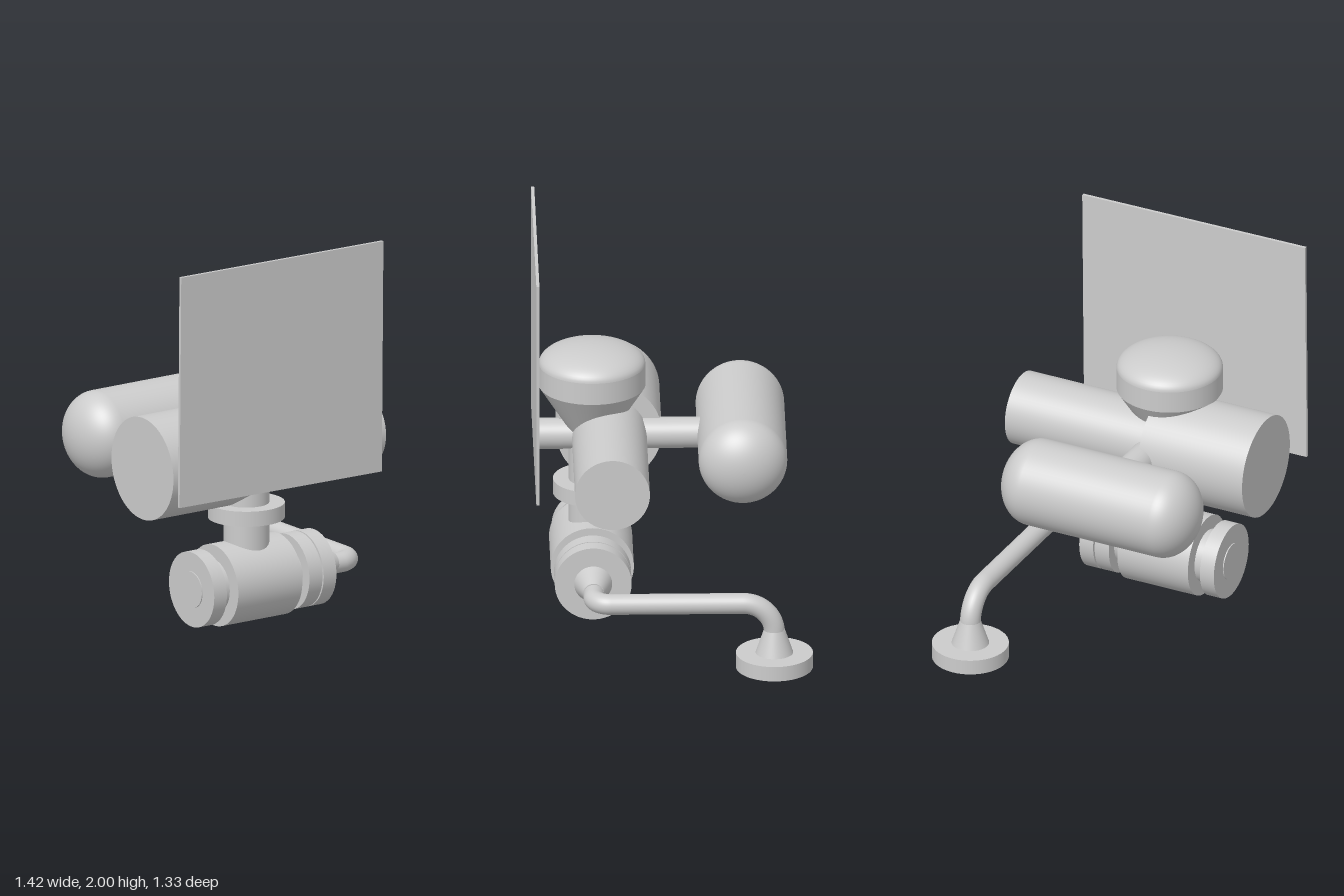
import * as THREE from 'three';

export function createModel() {
  const model = new THREE.Group();
  const mat = new THREE.MeshStandardMaterial({ color: 0xcccccc });
  const V = (x, y, z) => new THREE.Vector3(x, y, z);
  const UP = V(0, 1, 0);

  function add(name, geometry, parent = model) {
    const mesh = new THREE.Mesh(geometry, mat);
    mesh.name = name;
    parent.add(mesh);
    return mesh;
  }

  // Capped cylinder or cone between two points
  function rod(name, a, b, ra, rb = ra, parent = model) {
    const dir = b.clone().sub(a);
    const mesh = add(name, new THREE.CylinderGeometry(rb, ra, dir.length(), 64), parent);
    mesh.position.copy(a).add(b).multiplyScalar(0.5);
    mesh.quaternion.setFromUnitVectors(UP, dir.normalize());
    return mesh;
  }

  const CX = -0.11, CY = 0.965, PZ = 0.385;

  // Thin upright panel, slightly turned
  const panel = add('panel', new THREE.BoxGeometry(1.2, 1.145, 0.015));
  panel.position.set(-0.108, 1.4225, 0.655);
  panel.rotation.z = -0.0085;

  // Two main barrels meeting end to end
  rod('wideBarrel', V(-0.67, CY, 0.3), V(CX, CY, 0.3), 0.253);
  rod('narrowBarrel', V(CX, 0.96, 0.3), V(0.645, 0.96, 0.3), 0.18);

  // Pipe from the panel through the barrels to the tank
  rod('crossPipe', V(CX, CY, 0.65), V(CX, CY, -0.3), 0.075);

  // Tank with elliptical ends, turned about its long axis
  const tankProfile = [];
  for (let i = 0; i <= 20; i++) {
    const a = (i / 20) * Math.PI / 2;
    tankProfile.push(new THREE.Vector2(0.213 * Math.sin(a), -0.348 - 0.165 * Math.cos(a)));
  }
  for (let i = 0; i <= 20; i++) {
    const a = (i / 20) * Math.PI / 2;
    tankProfile.push(new THREE.Vector2(0.213 * Math.cos(a), 0.348 + 0.165 * Math.sin(a)));
  }
  const tank = add('tank', new THREE.LatheGeometry(tankProfile, 64));
  tank.rotation.z = -Math.PI / 2;
  tank.position.set(-0.112, CY, -0.335);

  // Funnel with a straight rim and a low domed lid
  const funnel = new THREE.Group();
  funnel.name = 'funnel';
  funnel.position.set(CX, 0, 0.382);
  model.add(funnel);
  const at = (y) => V(0, y, 0);
  rod('funnelCone', at(0.99), at(1.22), 0.11, 0.256, funnel);
  rod('funnelRim', at(1.22), at(1.33), 0.256, 0.256, funnel);
  const lid = [];
  for (let i = 0; i <= 16; i++) {
    const a = (i / 16) * Math.PI / 2;
    lid.push(new THREE.Vector2(0.256 * Math.cos(a), 1.33 + 0.098 * Math.sin(a)));
  }
  add('funnelLid', new THREE.LatheGeometry(lid, 64), funnel);

  // Neck and its flange down to the valve
  rod('neck', V(-0.115, 0.45, PZ), V(-0.115, 1.0, PZ), 0.11);
  rod('neckFlange', V(-0.115, 0.655, PZ), V(-0.115, 0.73, PZ), 0.185);

  // Valve: a row of stepped cylinders along x [name, start, end, radius]
  const valve = new THREE.Group();
  valve.name = 'valve';
  model.add(valve);
  const along = (x) => V(x, 0.345, PZ);
  [
    ['endStub', -0.445, -0.43, 0.09],
    ['endFlange', -0.44, -0.365, 0.185],
    ['endCollar', -0.37, -0.3, 0.13],
    ['valveBody', -0.308, 0.072, 0.2],
    ['outletCollar', 0.06, 0.13, 0.13],
    ['outletFlange', 0.125, 0.202, 0.185],
    ['flangeGasket', 0.2, 0.212, 0.12],
    ['matingFlange', 0.21, 0.285, 0.185],
  ].forEach(([name, a, b, r]) => rod(name, along(a), along(b), r, r, valve));
  rod('outletReducer', along(0.28), along(0.4), 0.093, 0.05, valve);

  // Drain pipe with two rounded elbows
  const DX = 0.525, DZ = -0.48, DY = 0.34, R1 = 0.08, R2 = 0.15;
  const path = new THREE.CurvePath();
  const arc = (corner, from, to, r) => {
    const k = 0.4477 * r;
    return new THREE.CubicBezierCurve3(
      corner.clone().addScaledVector(from, r), corner.clone().addScaledVector(from, k),
      corner.clone().addScaledVector(to, k), corner.clone().addScaledVector(to, r));
  };
  const c1 = V(DX, DY, PZ), c2 = V(DX, DY, DZ);
  path.add(new THREE.LineCurve3(V(0.37, DY, PZ), V(DX - R1, DY, PZ)));
  path.add(arc(c1, V(-1, 0, 0), V(0, 0, -1), R1));
  path.add(new THREE.LineCurve3(V(DX, DY, PZ - R1), V(DX, DY, DZ + R2)));
  path.add(arc(c2, V(0, 0, 1), V(0, -1, 0), R2));
  path.add(new THREE.LineCurve3(V(DX, DY - R2, DZ), V(DX, 0.15, DZ)));
  add('drainPipe', new THREE.TubeGeometry(path, 160, 0.05, 32));

  // Foot: cone, disc and small stub underneath
  rod('footCone', V(DX, 0.08, DZ), V(DX, 0.205, DZ), 0.092, 0.05);
  rod('footDisc', V(DX, 0.01, DZ), V(DX, 0.085, DZ), 0.185);
  rod('footStub', V(DX, 0, DZ), V(DX, 0.02, DZ), 0.09);

  return model;
}
